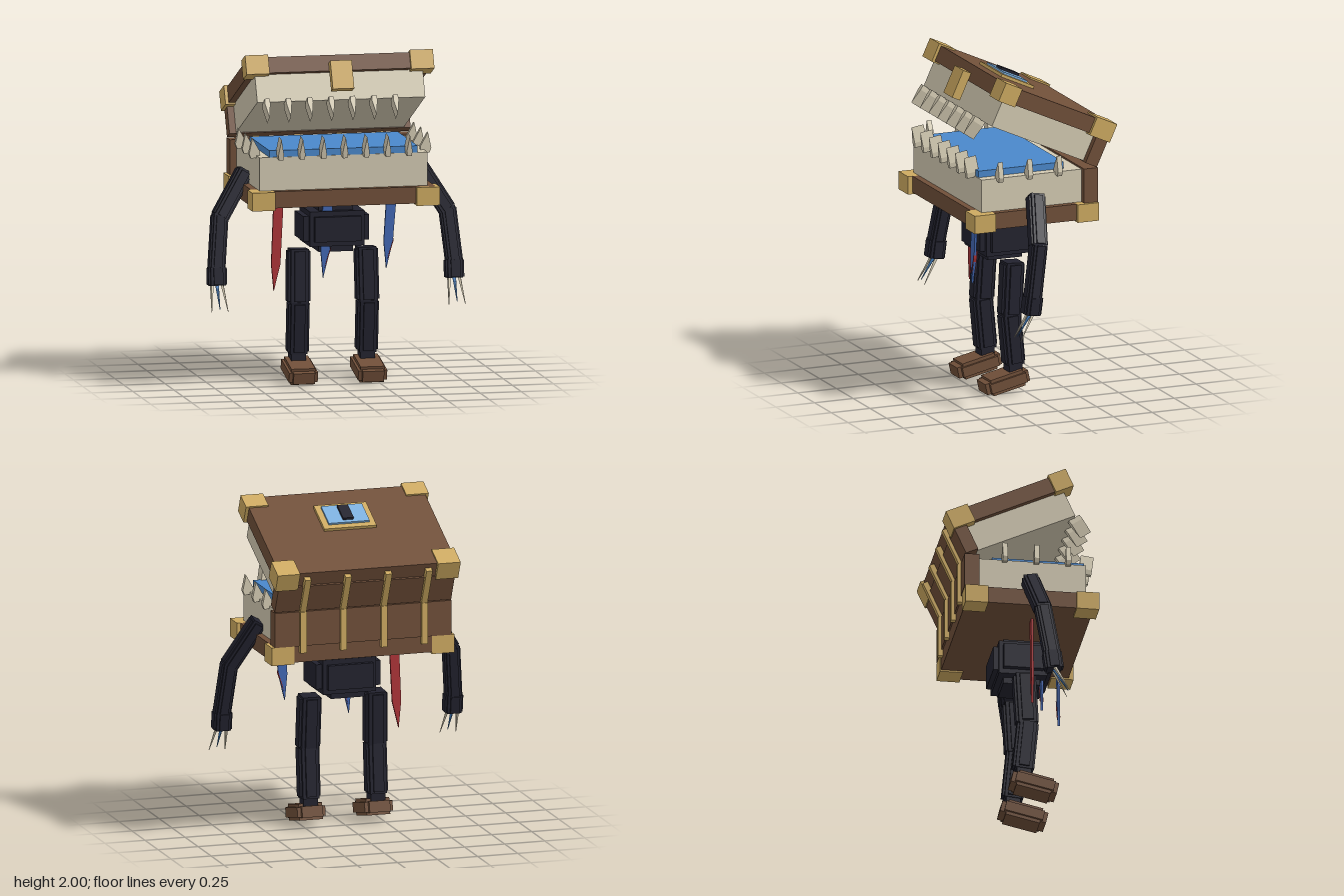
import * as THREE from 'three';

const mat = (name, color, flat) => {
  const m = new THREE.MeshStandardMaterial({ color });
  m.name = name;
  if (flat) m.flatShading = true;
  return m;
};

export function createModel() {
  const brown = mat('wood brown', 0x704f39);
  const gold = mat('gold trim', 0xcdaa61);
  const bone = mat('bone', 0xd3cab2, true);
  const blue = mat('tongue blue', 0x4a88cb);
  const pale = mat('pale blue', 0x7db0de);
  const dark = mat('dark body', 0x22222e);
  const red = mat('ribbon red', 0xad3438);
  const navy = mat('ribbon blue', 0x4268b4);

  const model = new THREE.Group();
  model.name = 'walkingChest';

  const group = (name, parent) => {
    const g = new THREE.Group();
    g.name = name;
    parent.add(g);
    return g;
  };
  const add = (parent, name, geo, m, x = 0, y = 0, z = 0) => {
    const mesh = new THREE.Mesh(geo, m);
    mesh.name = name;
    mesh.position.set(x, y, z);
    parent.add(mesh);
    return mesh;
  };
  // Box given by its extents along each axis
  const box = (parent, name, m, x0, x1, y0, y1, z0, z1) =>
    add(parent, name, new THREE.BoxGeometry(x1 - x0, y1 - y0, z1 - z0), m,
      (x0 + x1) / 2, (y0 + y1) / 2, (z0 + z1) / 2);
  // Flat outline extruded and centred in depth
  const plate = (pts, depth) =>
    new THREE.ExtrudeGeometry(new THREE.Shape(pts.map(p => new THREE.Vector2(...p))),
      { depth, bevelEnabled: false }).translate(0, 0, -depth / 2);
  const toothGeo = (w, h, d) => plate(
    [[-w * 0.4, 0], [w * 0.4, 0], [w / 2, h * 0.25], [0, h], [-w / 2, h * 0.25]], d);

  // Chest base
  const base = group('chestBase', model);
  box(base, 'baseSlab', brown, -0.55, 0.55, 1.1, 1.2, -0.335, 0.43);
  box(base, 'lowerBackWall', brown, -0.55, 0.55, 1.2, 1.41, -0.345, -0.255);
  box(base, 'lowerGum', bone, -0.51, 0.51, 1.2, 1.4, -0.255, 0.39);
  box(base, 'tongue', blue, -0.45, 0.45, 1.4, 1.44, -0.165, 0.385);
  for (const s of [-1, 1]) {
    const a = Math.min(s * 0.43, s * 0.57), b = Math.max(s * 0.43, s * 0.57);
    box(base, 'baseFrontCorner', gold, a, b, 1.09, 1.2, 0.325, 0.46);
    box(base, 'baseBackCorner', gold, a, b, 1.09, 1.2, -0.342, -0.205);
  }

  // Lid, tipped open about the rear edge; its top corner plane is y = 0 here
  const lid = group('lid', model);
  lid.position.set(0, 1.833, -0.1);
  lid.rotation.x = -0.43;
  box(lid, 'lidSlab', brown, -0.55, 0.55, -0.108, -0.01, -0.378, 0.375);
  box(lid, 'lidBackWall', brown, -0.55, 0.55, -0.283, -0.1, -0.39, -0.31);
  box(lid, 'upperGum', bone, -0.51, 0.51, -0.278, -0.1, -0.31, 0.34);
  box(lid, 'latch', gold, -0.065, 0.065, -0.235, -0.06, 0.375, 0.43);
  for (const s of [-1, 1]) {
    const a = Math.min(s * 0.43, s * 0.57), b = Math.max(s * 0.43, s * 0.57);
    box(lid, 'lidFrontCorner', gold, a, b, -0.118, 0, 0.277, 0.393);
    box(lid, 'lidBackCorner', gold, a, b, -0.118, 0, -0.397, -0.255);
  }

  // Eye plate on the lid
  box(lid, 'eyeFrame', gold, -0.163, 0.163, -0.02, 0.008, 0.003, 0.232);
  box(lid, 'eye', pale, -0.128, 0.126, 0, 0.02, 0.038, 0.205);
  box(lid, 'pupil', dark, -0.033, 0.033, 0, 0.035, 0.06, 0.187);

  // Rear straps
  for (const x of [-0.378, -0.126, 0.126, 0.378]) {
    box(base, 'lowerStrap', gold, x - 0.019, x + 0.019, 1.16, 1.41, -0.365, -0.33);
    box(lid, 'upperStrap', gold, x - 0.019, x + 0.019, -0.29, -0.04, -0.41, -0.375);
  }

  // Teeth
  const frontTooth = toothGeo(0.034, 0.125, 0.078);
  const sideTooth = toothGeo(0.068, 0.12, 0.03);
  for (let i = 0; i < 7; i++) {
    const x = (i - 3) * 0.13;
    add(base, 'lowerTooth', frontTooth, bone, x, 1.393, 0.398).rotation.x = 0.14;
    add(lid, 'upperTooth', frontTooth, bone, x - 0.068, -0.274, 0.34).rotation.x = Math.PI - 0.18;
  }
  for (const s of [-1, 1])
    for (const z of [0.28, 0.09, -0.1])
      add(base, 'sideTooth', sideTooth, bone, s * 0.515, 1.385, z).rotation.z = -s * 0.15;

  // Limb segment from a to b with a stepped, chamfered cross-section
  const limb = (parent, name, a, b, w) => {
    const p = new THREE.Vector3(...a), q = new THREE.Vector3(...b);
    const g = group(name, parent), len = p.distanceTo(q);
    g.position.copy(p).add(q).multiplyScalar(0.5);
    g.quaternion.setFromUnitVectors(new THREE.Vector3(0, 1, 0), p.sub(q).normalize());
    for (const [x, y, z] of [[1, 0.92, 0.5], [0.8, 1, 0.8], [0.5, 0.92, 1]])
      add(g, name + 'Block', new THREE.BoxGeometry(w * x, len * y, w * z), dark);
    return g;
  };

  // Pelvis of nested boxes
  const pelvis = group('pelvis', model);
  pelvis.position.set(0, 0.93, 0.065);
  for (const d of [[0.4, 0.15, 0.24], [0.33, 0.21, 0.29], [0.21, 0.285, 0.22], [0.28, 0.15, 0.35]])
    add(pelvis, 'pelvisBlock', new THREE.BoxGeometry(...d), dark);

  for (const s of [-1, 1]) {
    const side = s > 0 ? 'left' : 'right';

    // Legs and feet
    const leg = group(side + 'Leg', model);
    limb(leg, 'thigh', [s * 0.205, 0.795, 0.062], [s * 0.21, 0.47, 0.08], 0.135);
    limb(leg, 'shin', [s * 0.21, 0.485, 0.085], [s * 0.21, 0.17, 0.055], 0.128);
    box(leg, 'ankle', dark, s * 0.21 - 0.045, s * 0.21 + 0.045, 0.1, 0.18, 0.015, 0.1);
    const foot = group('foot', leg);
    foot.position.set(s * 0.21, 0.072, 0.12);
    foot.rotation.x = 0.22;
    for (const d of [[0.175, 0.06, 0.235], [0.13, 0.068, 0.282], [0.145, 0.1, 0.21]])
      add(foot, 'footBlock', new THREE.BoxGeometry(...d), brown);

    // Arms
    const arm = group(side + 'Arm', model);
    limb(arm, 'upperArm', [s * 0.525, 1.275, 0.05], [s * 0.695, 1.0, 0.105], 0.105);
    limb(arm, 'forearm', [s * 0.69, 1.03, 0.1], [s * 0.723, 0.69, 0.155], 0.1);
    limb(arm, 'hand', [s * 0.72, 0.715, 0.15], [s * 0.72, 0.605, 0.165], 0.112);

    // Claws, fanned out and forward
    for (const i of [-1, 0, 1]) {
      const a = new THREE.Vector3(s * 0.72 + i * 0.03, 0.62, 0.158);
      const b = new THREE.Vector3(s * 0.72 + i * 0.05, i ? 0.458 : 0.475, 0.25);
      const claw = add(arm, 'claw', new THREE.CylinderGeometry(0.002, 0.012, a.distanceTo(b), 4),
        i ? bone : blue);
      claw.position.copy(a).add(b).multiplyScalar(0.5);
      claw.quaternion.setFromUnitVectors(new THREE.Vector3(0, 1, 0), b.sub(a).normalize());
    }
  }

  // Hanging ribbons with pointed ends
  const ribbon = (x, z, len, m, tipped) => {
    const g = group('ribbon', model);
    g.position.set(x, 1.105, z);
    const end = -len, k = end + 0.16;
    add(g, 'ribbonStrip', plate(
      [[-0.03, 0], [-0.045, k], [-0.03, end], [0.01, k], [0.03, 0]], 0.014), m);
    if (tipped)
      add(g, 'ribbonTip', plate(
        [[-0.012, k - 0.06], [-0.022, end + 0.06], [0.012, k], [0.014, k + 0.02]], 0.022), red);
  };
  ribbon(-0.33, 0.09, 0.555, red, false);
  ribbon(-0.052, 0.19, 0.47, navy, true);
  ribbon(0.297, 0.345, 0.4, navy, true);

  return model;
}
